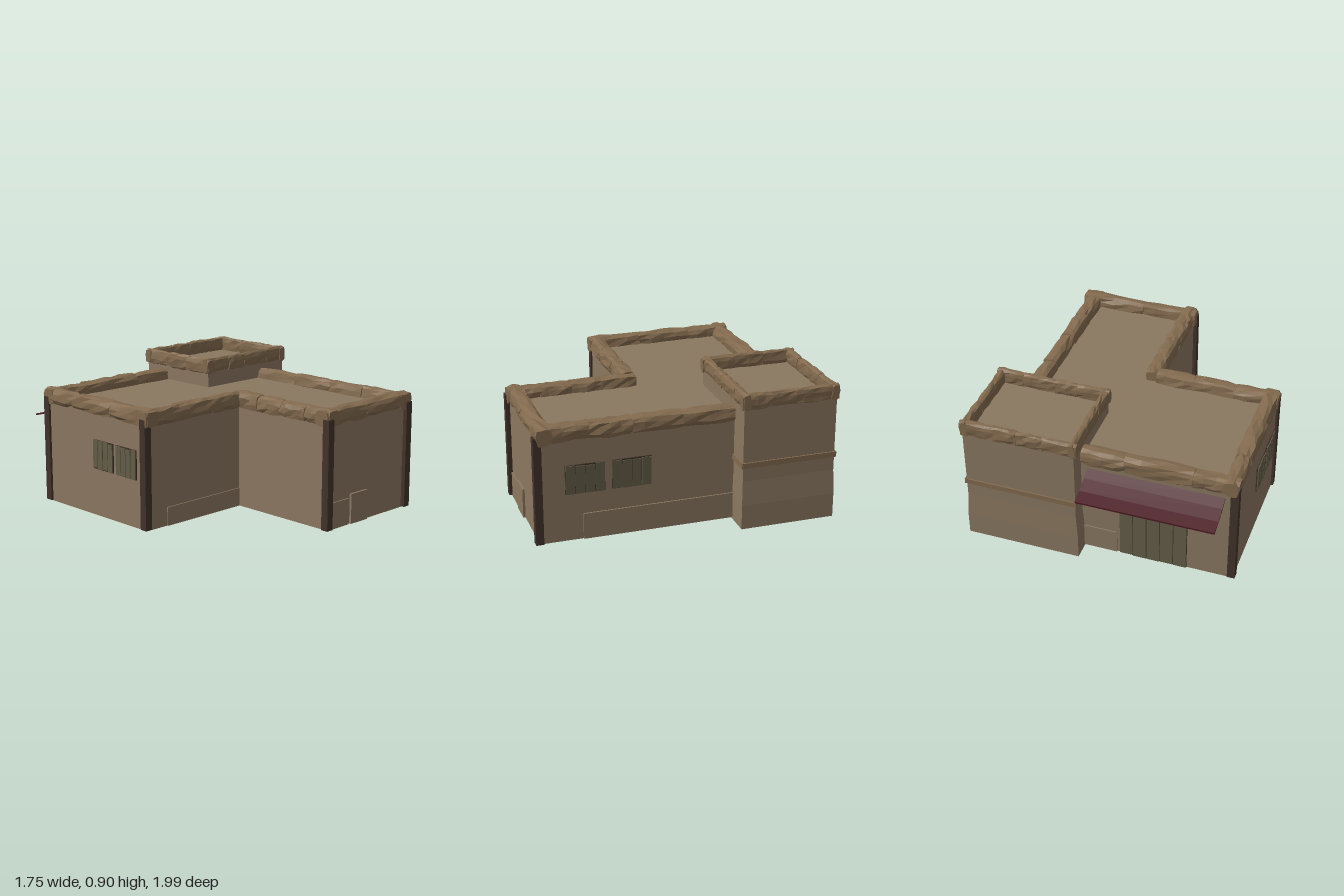
import * as THREE from 'three';

const mat = (color, side = THREE.FrontSide) =>
  new THREE.MeshStandardMaterial({ color, side, flatShading: true });

export function createModel() {
  const root = new THREE.Group();
  root.name = 'adobeHouse';
  const clay = mat(0x8a7760), trim = mat(0x826a4e), timber = mat(0x42332b);
  const board = mat(0x645d48), cloth = mat(0x4c1a24, THREE.DoubleSide);

  let seed = 7;
  const rand = () => (seed = (seed * 16807) % 2147483647) / 2147483647 - 0.5;

  const add = (name, geo, material, x, y, z, parent = root) => {
    const m = new THREE.Mesh(geo, material);
    m.name = name;
    m.position.set(x, y, z);
    parent.add(m);
    return m;
  };
  // box given by its limits on each axis
  const block = (name, material, [x0, x1], [y0, y1], [z0, z1], parent) =>
    add(name, new THREE.BoxGeometry(x1 - x0, y1 - y0, z1 - z0), material,
      (x0 + x1) / 2, (y0 + y1) / 2, (z0 + z1) / 2, parent);

  // hand-moulded beam: bevelled box whose shared corners wobble together
  function beam(len, h, t, wobble) {
    const g = new THREE.BoxGeometry(len, h, t, 4, 3, 3);
    const p = g.attributes.position, moved = new Map();
    for (let i = 0; i < p.count; i++) {
      const x = p.getX(i), y = p.getY(i), z = p.getZ(i);
      const key = [x, y, z].map(v => Math.round(v * 1000)).join();
      if (!moved.has(key)) {
        const corner = Math.abs(y) > h * 0.4 && Math.abs(z) > t * 0.4 ? 0.83 : 1;
        const end = Math.abs(x) > len * 0.49 ? 0.94 : 1;
        moved.set(key, [x, y * corner * end + rand() * wobble, z * corner * end + rand() * wobble]);
      }
      p.setXYZ(i, ...moved.get(key));
    }
    return g;
  }

  // row of beams between two points on the plan
  function parapetRun(parent, [x0, z0], [x1, z1], y, h, t, count, wobble) {
    const len = Math.hypot(x1 - x0, z1 - z0);
    const cuts = [0];
    for (let i = 1; i < count; i++) cuts.push((i + rand() * 0.3) / count);
    cuts.push(1);
    for (let i = 0; i < count; i++) {
      const k = (cuts[i] + cuts[i + 1]) / 2;
      const l = (cuts[i + 1] - cuts[i]) * len + 0.008;
      const m = add('parapetBeam', beam(l, h + rand() * 0.008, t + rand() * 0.008, wobble), trim,
        x0 + (x1 - x0) * k, y + rand() * 0.005, z0 + (z1 - z0) * k, parent);
      m.rotation.y = -Math.atan2(z1 - z0, x1 - x0);
    }
  }

  // L-shaped main walls with a flat roof
  const plan = [[-0.86, -0.78], [0.70, -0.78], [0.70, 0.965], [-0.06, 0.965], [-0.06, 0.2], [-0.86, 0.2]];
  const shape = new THREE.Shape(plan.map(([x, z]) => new THREE.Vector2(x, -z)));
  const walls = new THREE.ExtrudeGeometry(shape, { depth: 0.69, bevelEnabled: false });
  walls.rotateX(-Math.PI / 2);
  add('mainWalls', walls, clay, 0, 0.01, 0);

  // main parapet
  const parapet = new THREE.Group();
  parapet.name = 'mainParapet';
  root.add(parapet);
  [
    [[-0.87, -0.74], [0.14, -0.74], 3],
    [[-0.82, -0.79], [-0.82, 0.22], 3],
    [[-0.87, 0.17], [-0.06, 0.17], 3],
    [[-0.025, 0.14], [-0.025, 0.98], 4],
    [[-0.08, 0.925], [0.73, 0.925], 2],
    [[0.665, -0.3], [0.665, 0.975], 4],
  ].forEach(([a, b, n]) => parapetRun(parapet, a, b, 0.715, 0.105, 0.105, n, 0.014));

  // corner tower, flared at the foot
  const tower = new THREE.Group();
  tower.name = 'tower';
  root.add(tower);
  const body = new THREE.BoxGeometry(0.73, 0.8, 0.61, 1, 5, 1);
  const bp = body.attributes.position;
  for (let i = 0; i < bp.count; i++) {
    if (bp.getY(i) < -0.2) {
      bp.setX(i, bp.getX(i) * 1.03);
      bp.setZ(i, bp.getZ(i) * 1.015);
    }
  }
  add('towerWalls', body, clay, 0.495, 0.4, -0.59, tower);
  block('towerBand', trim, [0.12, 0.87], [0.41, 0.445], [-0.905, -0.275], tower);
  [
    [[0.115, -0.88], [0.87, -0.88], 4],
    [[0.115, -0.302], [0.87, -0.302], 4],
    [[0.14, -0.905], [0.14, -0.275], 3],
    [[0.845, -0.905], [0.845, -0.275], 3],
  ].forEach(([a, b, n]) => parapetRun(tower, a, b, 0.84, 0.1, 0.05, n, 0.009));

  // timber posts on the outer corners
  for (const [x, z] of [[-0.85, -0.765], [-0.85, 0.185], [-0.06, 0.968], [0.695, 0.968]])
    add('cornerPost', new THREE.BoxGeometry(0.05, 0.7, 0.05), timber, x, 0.365, z);

  // worn plaster patches along the foot of the walls
  const patch = (...limits) => block('plasterPatch', clay, ...limits);
  patch([0.69, 0.71], [0.01, 0.18], [-0.29, 0.69]);
  patch([-0.69, -0.06], [0.01, 0.13], [0.19, 0.208]);
  patch([-0.03, 0.14], [0.01, 0.18], [0.95, 0.974]);
  patch([0.155, 0.31], [0.01, 0.205], [0.95, 0.98]);
  patch([-0.1, 0.12], [0.01, 0.17], [-0.788, -0.77]);

  // boarded openings: uneven planks over a dark backing, facing +z before turning
  function boarded(name, w, h, planks, x, y, z, turn) {
    const g = new THREE.Group();
    g.name = name;
    g.position.set(x, y, z);
    g.rotation.y = turn;
    root.add(g);
    add('backing', new THREE.BoxGeometry(w, h, 0.008), timber, 0, 0, 0, g);
    const pw = w / planks;
    for (let i = 0; i < planks; i++) {
      const drop = (rand() + 0.5) * 0.012;
      add('plank', new THREE.BoxGeometry(pw - 0.005, h - drop, 0.012 + rand() * 0.004), board,
        -w / 2 + pw * (i + 0.5), rand() * drop, 0.004, g);
    }
  }
  const q = Math.PI / 2;
  boarded('leftWindow', 0.25, 0.19, 4, 0.702, 0.415, 0.675, q);
  boarded('leftWindow', 0.25, 0.19, 4, 0.702, 0.415, 0.38, q);
  boarded('rightWindow', 0.19, 0.19, 4, -0.863, 0.415, -0.2, -q);
  boarded('rightWindow', 0.19, 0.19, 4, -0.863, 0.415, 0.02, -q);
  boarded('backDoor', 0.44, 0.49, 5, -0.34, 0.255, -0.782, Math.PI);

  // sagging cloth awning over the door
  const sag = [[0.77, 0.645], [0.84, 0.605], [0.92, 0.57], [1.0, 0.548]];
  const lower = sag.map(([z, y]) => [z, y - 0.012]).reverse();
  const section = new THREE.Shape([...sag, ...lower].map(([z, y]) => new THREE.Vector2(z, y)));
  const awning = new THREE.ExtrudeGeometry(section, { depth: 0.88, bevelEnabled: false });
  awning.rotateY(Math.PI / 2);
  add('awning', awning, cloth, -0.79, 0, 0);

  return root;
}
